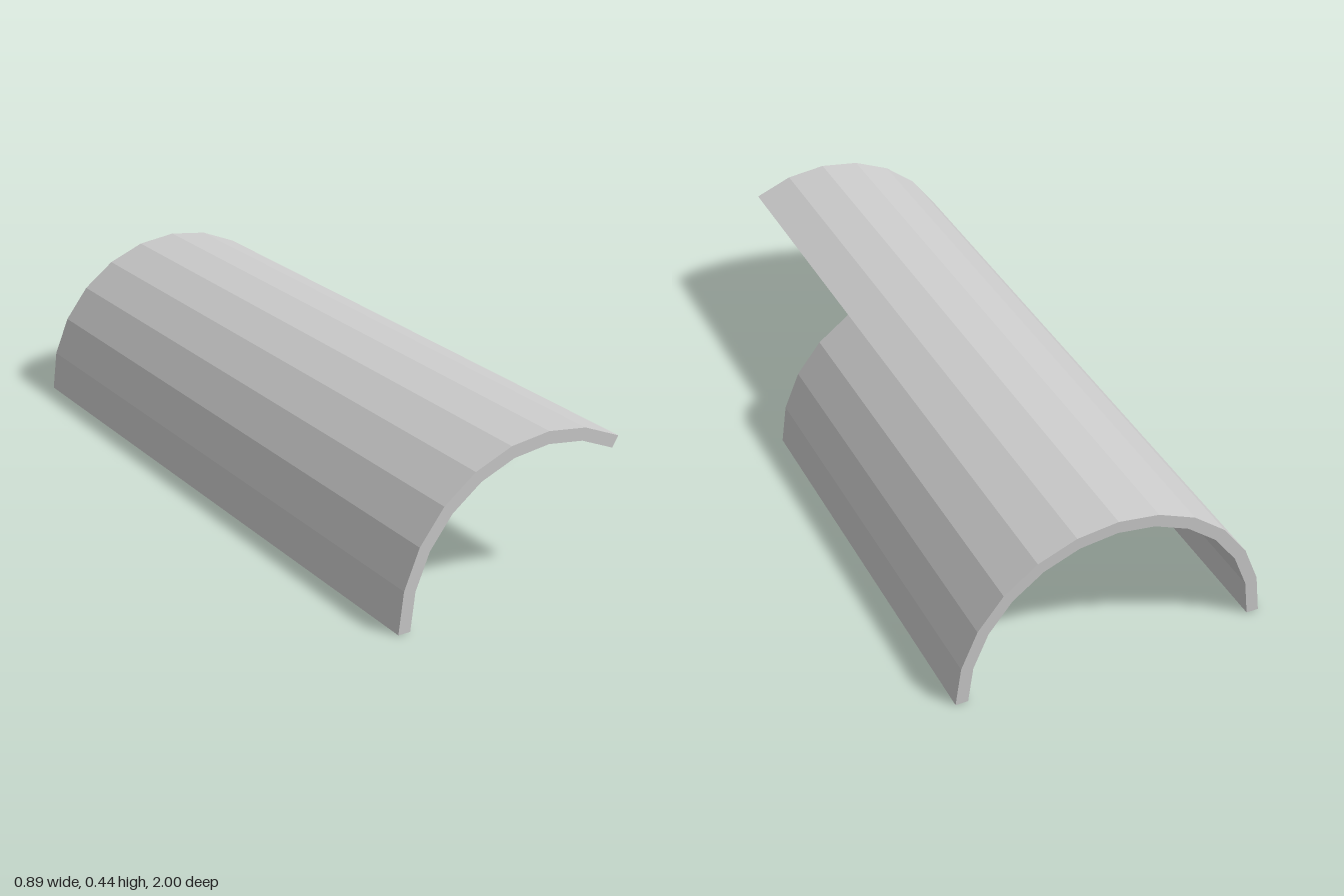
import * as THREE from 'three';

const OUTER = 0.445, INNER = 0.41;
const SEGMENTS = 12, NOTCH_SEGMENTS = 4;
const BACK = -1, FRONT = 1, NOTCH = 0.24;

// Half-pipe shell with one lower front quarter cut away
function shellGeometry() {
  const positions = [];
  const point = (i, r, z) => {
    const a = (i / SEGMENTS) * Math.PI;
    return [r * Math.cos(a), r * Math.sin(a), z];
  };
  const quad = (a, b, c, d) => positions.push(...a, ...b, ...c, ...a, ...c, ...d);

  for (let i = 0; i < SEGMENTS; i++) {
    const j = i + 1;
    const end = i < NOTCH_SEGMENTS ? NOTCH : FRONT;
    // outer and inner facets
    quad(point(i, OUTER, BACK), point(j, OUTER, BACK), point(j, OUTER, end), point(i, OUTER, end));
    quad(point(i, INNER, BACK), point(i, INNER, end), point(j, INNER, end), point(j, INNER, BACK));
    // front and back rims
    quad(point(i, INNER, end), point(i, OUTER, end), point(j, OUTER, end), point(j, INNER, end));
    quad(point(i, INNER, BACK), point(j, INNER, BACK), point(j, OUTER, BACK), point(i, OUTER, BACK));
  }

  // long edges: left foot, notch edge, right foot (swapped z flips the facing)
  for (const [i, z0, z1] of [[0, BACK, NOTCH], [NOTCH_SEGMENTS, NOTCH, FRONT], [SEGMENTS, FRONT, BACK]]) {
    quad(point(i, INNER, z0), point(i, OUTER, z0), point(i, OUTER, z1), point(i, INNER, z1));
  }

  const geometry = new THREE.BufferGeometry();
  geometry.setAttribute('position', new THREE.Float32BufferAttribute(positions, 3));
  geometry.computeVertexNormals();
  return geometry;
}

export function createModel() {
  const group = new THREE.Group();
  group.name = 'notchedHalfPipe';
  const material = new THREE.MeshStandardMaterial({ color: 0xcccccc, flatShading: true });
  const shell = new THREE.Mesh(shellGeometry(), material);
  shell.name = 'shell';
  group.add(shell);
  return group;
}
